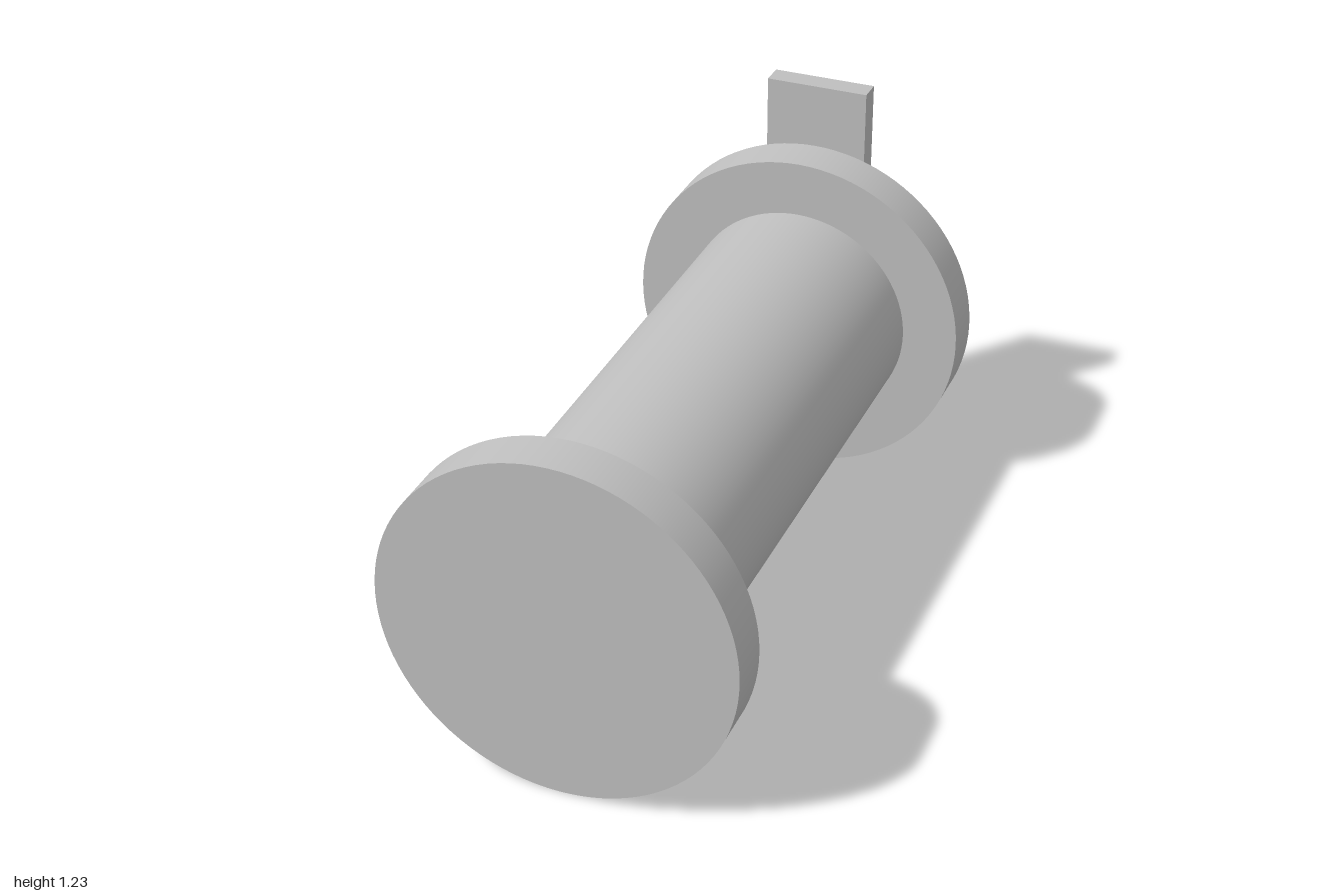
import * as THREE from 'three';

export function createModel() {
  const model = new THREE.Group();
  const grey = new THREE.MeshStandardMaterial({ color: 0xbfbfbf });
  grey.name = 'plain grey';

  const flangeRadius = 0.517;
  const barrelRadius = 0.348;

  // Solid disc or rod along z, resting at flange height
  function addRod(name, radius, zBack, zFront) {
    const geometry = new THREE.CylinderGeometry(radius, radius, zFront - zBack, 96);
    geometry.rotateX(Math.PI / 2);
    const mesh = new THREE.Mesh(geometry, grey);
    mesh.name = name;
    mesh.position.set(0, flangeRadius, (zBack + zFront) / 2);
    model.add(mesh);
  }

  // Spool: barrel between two flanges
  addRod('barrel', barrelRadius, -0.793, 0.862);
  addRod('frontFlange', flangeRadius, 0.862, 1);
  addRod('backFlange', flangeRadius, -0.931, -0.793);

  // Upright tab on the outer face of the back flange
  const tab = new THREE.Mesh(new THREE.BoxGeometry(0.314, 0.5, 0.069), grey);
  tab.name = 'mountingTab';
  tab.position.set(0, 0.981, -0.9655);
  model.add(tab);

  return model;
}
